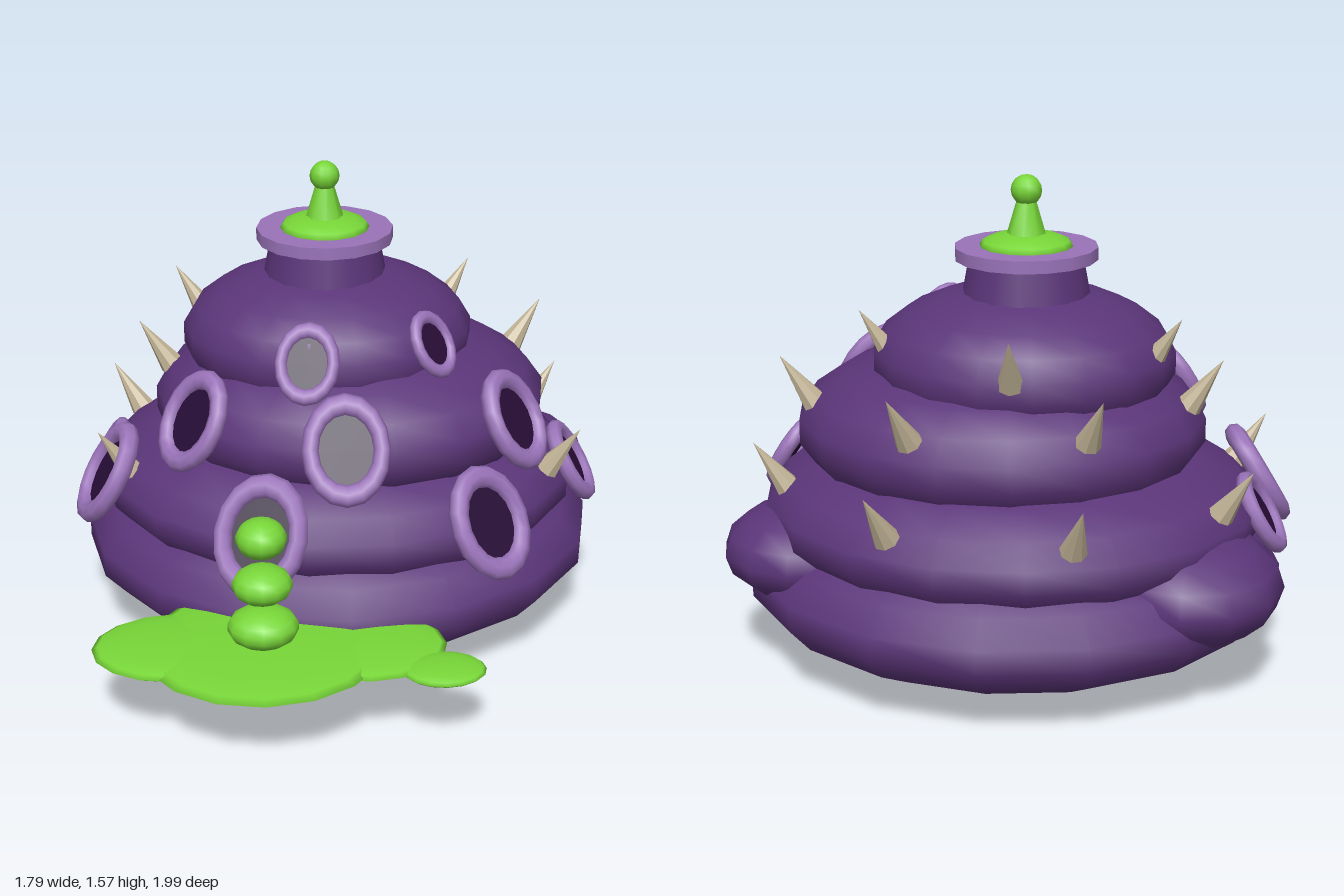
import * as THREE from 'three';

const mat = (name, color, extra = {}) => {
  const m = new THREE.MeshStandardMaterial({ color, ...extra });
  m.name = name;
  return m;
};

export function createModel() {
  const skin = mat('purple skin', 0x5b3579);
  const rim = mat('light purple rim', 0x9a73b9);
  const hollow = mat('dark hollow', 0x270d36, { side: THREE.DoubleSide });
  const slime = mat('green slime', 0x78d638);
  const horn = mat('horn tan', 0xc2b496, { flatShading: true });

  const model = new THREE.Group();
  model.name = 'spikyMound';

  const add = (name, geometry, material, x, y, z, parent = model) => {
    const mesh = new THREE.Mesh(geometry, material);
    mesh.name = name;
    mesh.position.set(x, y, z);
    parent.add(mesh);
    return mesh;
  };
  const blob = (name, material, [x, y, z], [rx, ry, rz], w = 16, h = 10) =>
    add(name, new THREE.SphereGeometry(1, w, h).scale(rx, ry, rz), material, x, y, z);

  // Stacked body tiers
  blob('baseTier', skin, [0, 0.28, -0.195], [0.87, 0.28, 0.805], 16, 11);
  blob('lowerTier', skin, [0, 0.5, -0.2], [0.81, 0.26, 0.73], 18, 11);
  blob('middleTier', skin, [0.04, 0.76, -0.19], [0.66, 0.27, 0.59], 18, 11);
  blob('upperTier', skin, [-0.035, 0.985, -0.21], [0.485, 0.24, 0.435], 18, 11);

  // Side bulges
  blob('leftBulge', skin, [0.63, 0.395, -0.435], [0.265, 0.155, 0.265], 12, 8);
  blob('rightBulge', skin, [-0.58, 0.36, -0.48], [0.3, 0.18, 0.31], 12, 8);

  // Neck, collar and lid with knob
  const cx = -0.043, cz = -0.21;
  add('neck', new THREE.CylinderGeometry(0.178, 0.212, 0.18, 16), skin, cx, 1.23, cz);
  add('collar', new THREE.CylinderGeometry(0.225, 0.225, 0.04, 16), rim, cx, 1.325, cz);
  blob('lid', slime, [cx, 1.345, cz], [0.147, 0.042, 0.147], 14, 8);
  add('lidStem', new THREE.CylinderGeometry(0.025, 0.066, 0.14, 8), slime, cx, 1.435, cz);
  blob('lidKnob', slime, [cx, 1.518, cz], [0.049, 0.049, 0.049], 10, 8);

  // Oval vents: x, y, z, half width, facing angle in degrees
  const vents = [
    [-0.12, 1.03, 0.205, 0.105, -11],
    [0.288, 1.045, 0.1, 0.09, 47],
    [-0.485, 0.825, 0.165, 0.135, -53],
    [-0.01, 0.825, 0.415, 0.14, 0],
    [0.545, 0.82, 0.2, 0.135, 53],
    [-0.28, 0.575, 0.495, 0.155, -22],
    [0.445, 0.565, 0.425, 0.147, 36],
    [-0.78, 0.565, -0.015, 0.145, -76],
    [0.775, 0.57, -0.01, 0.118, 76],
    [-0.8, 0.52, -0.265, 0.112, -95],
  ];
  for (const [x, y, z, r, angle] of vents) {
    const vent = new THREE.Group();
    vent.name = 'vent';
    vent.position.set(x, y, z);
    vent.rotation.set(-0.53, THREE.MathUtils.degToRad(angle), 0, 'YXZ');
    const tube = r * 0.2;
    add('ventRim', new THREE.TorusGeometry(r - tube, tube, 8, 16).scale(1, 1.28, 1.15), rim, 0, 0, 0, vent);
    add('ventHollow', new THREE.CircleGeometry(r - tube, 16).scale(1, 1.28, 1), hollow, 0, 0, 0.004, vent);
    model.add(vent);
  }

  // Horns: tip x, y, z; each leans outward and up from the body
  const tips = [
    [-0.06, 1.17, -0.72], [-0.54, 1.165, -0.365], [0.455, 1.165, -0.385],
    [0.285, 1.01, -0.81], [-0.34, 1.01, -0.74], [-0.665, 1.01, -0.255], [0.71, 1.01, -0.39],
    [-0.305, 0.745, -0.94], [0.335, 0.745, -0.92], [-0.775, 0.745, -0.535],
    [0.785, 0.745, -0.465], [-0.8, 0.745, 0.06], [0.775, 0.745, 0.13],
  ];
  const up = new THREE.Vector3(0, 1, 0);
  for (const [x, y, z] of tips) {
    const dir = new THREE.Vector3(x + 0.02, 0, z + 0.2).normalize().multiplyScalar(0.56);
    dir.y = 0.83;
    dir.normalize();
    const spike = add('horn', new THREE.ConeGeometry(0.042, 0.19, 8).translate(0, -0.095, 0), horn, x, y, z);
    spike.quaternion.setFromUnitVectors(up, dir);
  }

  // Slime dripping from the large front vent
  blob('drip', slime, [-0.28, 0.615, 0.585], [0.08, 0.063, 0.082], 12, 9);
  blob('drip', slime, [-0.28, 0.505, 0.675], [0.094, 0.06, 0.09], 12, 9);
  blob('drip', slime, [-0.28, 0.4, 0.745], [0.11, 0.063, 0.1], 12, 9);

  // Slime puddle of overlapping flat discs
  const puddle = [
    [-0.28, 0.65, 0.38, 0.35], [-0.56, 0.64, 0.25, 0.2],
    [0.04, 0.66, 0.25, 0.21], [0.265, 0.81, 0.13, 0.1],
  ];
  puddle.forEach(([x, z, rx, rz], i) =>
    blob('puddle', slime, [x, 0.275 - i * 0.002, z], [rx, 0.03 - i * 0.003, rz], 16, 8));

  return model;
}
